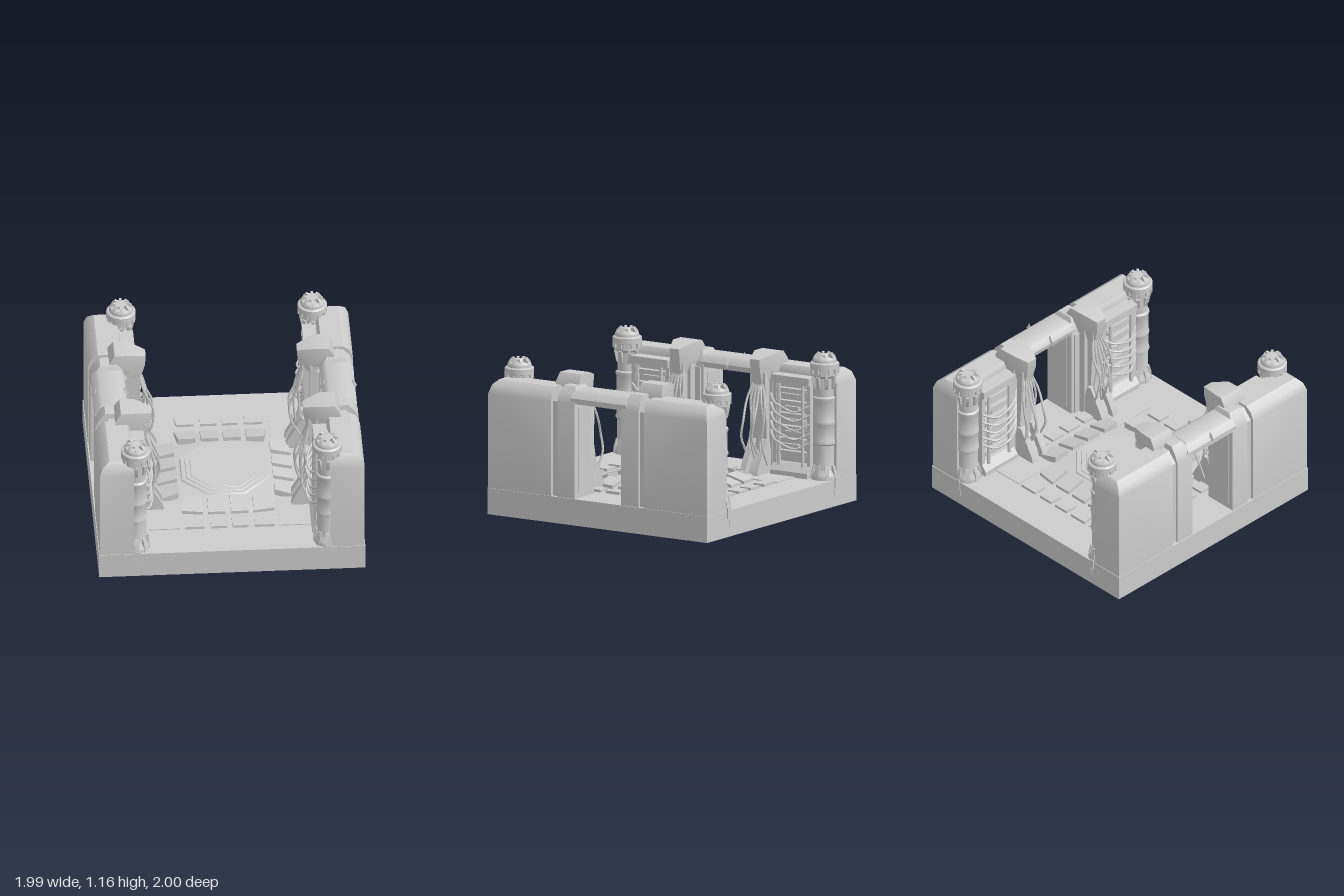
import * as THREE from 'three';
import { toCreasedNormals, mergeGeometries } from 'three/addons/utils/BufferGeometryUtils.js';
import { ConvexGeometry } from 'three/addons/geometries/ConvexGeometry.js';

const V = (x, y, z) => new THREE.Vector3(x, y, z);
const material = new THREE.MeshStandardMaterial({ color: 0xcccccc });

// Box given by its limits on each axis
const box = (x0, x1, y0, y1, z0, z1) =>
  new THREE.BoxGeometry(x1 - x0, y1 - y0, z1 - z0).translate((x0 + x1) / 2, (y0 + y1) / 2, (z0 + z1) / 2);

// Convex solid from horizontal rectangles [y, x0, x1, z0, z1]
const stack = (...levels) => new ConvexGeometry(levels.flatMap(([y, x0, x1, z0, z1]) =>
  [V(x0, y, z0), V(x1, y, z0), V(x1, y, z1), V(x0, y, z1)]));

// Side profile in x,y extruded along z
const profile = (pts, z0, z1) => new THREE.ExtrudeGeometry(
  new THREE.Shape(pts.map(p => new THREE.Vector2(...p))), { depth: z1 - z0, bevelEnabled: false }).translate(0, 0, z0);

const tube = (r, ...pts) => new THREE.TubeGeometry(
  new THREE.CatmullRomCurve3(pts.map(p => V(...p))), 14, r, 6);

const merge = geos => mergeGeometries(geos.map(g => {
  const n = toCreasedNormals(g.index ? g.toNonIndexed() : g, 0.6);
  n.deleteAttribute('uv');
  return n;
}));

// Mirrored copy with its triangle winding kept outward
function mirrored(geo, sx, sz) {
  const g = geo.clone().scale(sx, 1, sz);
  if (sx * sz < 0) {
    for (const a of [g.attributes.position, g.attributes.normal]) {
      for (let i = 0; i < a.count; i += 3) {
        const p = V().fromBufferAttribute(a, i), q = V().fromBufferAttribute(a, i + 2);
        a.setXYZ(i, q.x, q.y, q.z);
        a.setXYZ(i + 2, p.x, p.y, p.z);
      }
    }
  }
  return g;
}

export function createModel() {
  const model = new THREE.Group();
  model.name = 'gatedRoom';

  const add = (name, geos, xs = [1], zs = [1]) => {
    const geo = merge([geos].flat());
    for (const sx of xs) for (const sz of zs) {
      const mesh = new THREE.Mesh(mirrored(geo, sx, sz), material);
      mesh.name = name;
      model.add(mesh);
    }
  };
  const both = [1, -1];
  const corners = (name, geos) => add(name, geos, both, both);

  // Base slab
  add('base', box(-0.995, 0.995, 0, 0.2, -0.99, 0.99));

  // Octagonal floor platform with stepped rings
  const octagon = (top, bottom, y0, y1) => new THREE.CylinderGeometry(
    top / Math.cos(Math.PI / 8), bottom / Math.cos(Math.PI / 8), y1 - y0, 8)
    .rotateY(Math.PI / 8).translate(0, (y0 + y1) / 2, 0);
  add('floorPlatform', [
    octagon(0.34, 0.53, 0.195, 0.237), octagon(0.32, 0.335, 0.23, 0.247),
    octagon(0.285, 0.295, 0.24, 0.252), octagon(0.25, 0.255, 0.25, 0.256)]);

  // Floor tiles that follow the slope of the platform
  const tile = (...plan) => {
    const g = new THREE.ExtrudeGeometry(new THREE.Shape(plan.map(([x, z]) => new THREE.Vector2(x, -z))),
      { depth: 0.05, bevelEnabled: false }).rotateX(-Math.PI / 2);
    const p = g.attributes.position;
    for (let i = 0; i < p.count; i++) {
      const d = Math.max(Math.abs(p.getX(i)), Math.abs(p.getZ(i)));
      const slope = THREE.MathUtils.clamp((0.53 - d) / 0.17, 0, 1);
      p.setY(i, p.getY(i) + 0.17 + 0.043 * slope);
    }
    g.computeVertexNormals();
    return g;
  };
  const quad = (x0, x1, z0, z1) => tile([x0, z0], [x0, z1], [x1, z1], [x1, z0]);
  corners('floorTiles', [
    quad(0.02, 0.15, 0.36, 0.52), tile([0.19, 0.36], [0.19, 0.52], [0.345, 0.5], [0.32, 0.36]),
    quad(0.02, 0.14, 0.6, 0.7), tile([0.19, 0.6], [0.19, 0.7], [0.335, 0.7], [0.32, 0.6]),
    quad(0.36, 0.51, 0.02, 0.14), tile([0.36, 0.19], [0.36, 0.32], [0.49, 0.34], [0.51, 0.19]),
    quad(0.57, 0.67, 0.02, 0.14), tile([0.57, 0.19], [0.57, 0.28], [0.67, 0.3], [0.67, 0.19])]);
  corners('floorPlate', box(0.37, 0.67, 0.19, 0.207, 0.34, 0.695));

  // Thick walls with bevelled tops
  corners('wall', stack([0.2, 0.735, 0.99, 0.42, 0.985], [0.92, 0.735, 0.99, 0.42, 0.985],
    [0.985, 0.735, 0.965, 0.42, 0.965], [1.02, 0.755, 0.915, 0.42, 0.935]));
  corners('wallGroove', stack([0.2, 0.75, 0.965, 0.34, 0.44], [0.92, 0.75, 0.965, 0.34, 0.44],
    [1.0, 0.76, 0.89, 0.34, 0.44]));

  // Doorway posts with sunk inner panels, and lintels between them
  corners('doorPost', [
    stack([0.2, 0.73, 0.985, 0.21, 0.365], [0.92, 0.73, 0.985, 0.21, 0.365],
      [0.985, 0.74, 0.96, 0.22, 0.365], [1.04, 0.78, 0.91, 0.25, 0.355]),
    box(0.78, 0.94, 0.24, 0.88, 0.204, 0.212),
    box(0.715, 0.735, 0.2, 0.92, 0.235, 0.3)]);
  add('lintel', stack([0.92, 0.74, 0.98, -0.25, 0.25], [0.96, 0.73, 0.98, -0.25, 0.25],
    [1.0, 0.75, 0.95, -0.24, 0.24], [1.02, 0.78, 0.92, -0.22, 0.22]), both);
  add('lintelRidge', [0.745, 0.965].map(x =>
    new THREE.OctahedronGeometry(1).scale(0.03, 0.055, 0.014).translate(x, 0.968, 0)), both);

  // Corner columns: turned shaft
  const column = [new THREE.LatheGeometry([
    [0, 0.2], [0.1, 0.2], [0.1, 0.23], [0.075, 0.27], [0.075, 0.46], [0.085, 0.47], [0.085, 0.49],
    [0.08, 0.5], [0.08, 0.61], [0.085, 0.62], [0.085, 0.64], [0.08, 0.65], [0.08, 0.79], [0.085, 0.8],
    [0.085, 0.82], [0.072, 0.83], [0.072, 0.97], [0.098, 0.99], [0.098, 1.035], [0.11, 1.04], [0.11, 1.082],
    [0.1, 1.09], [0.09, 1.09], [0.09, 1.11], [0.08, 1.125], [0.06, 1.125], [0.045, 1.13],
    [0.045, 1.145], [0, 1.148]].map(p => new THREE.Vector2(...p)), 24)];
  const ring = (n, geo) => {
    for (let i = 0; i < n; i++) column.push(geo.clone().rotateY(i * 2 * Math.PI / n));
  };
  ring(12, box(0.09, 0.109, 1.005, 1.045, -0.017, 0.017)); // crown teeth
  ring(8, profile([[0.04, 1.12], [0.088, 1.11], [0.08, 1.135], [0.06, 1.157], [0.04, 1.15]], -0.009, 0.009)); // cap spokes
  ring(8, profile([[0.065, 0.88], [0.082, 0.9], [0.098, 0.98], [0.065, 0.99]], -0.012, 0.012)); // upper brackets
  ring(8, profile([[0.06, 0.2], [0.105, 0.2], [0.1, 0.25], [0.083, 0.31], [0.06, 0.31]], -0.014, 0.014)); // foot fins
  corners('column', column.map(g => g.translate(0.715, 0, 0.89)));
  corners('columnAnchor', [box(0.7, 0.73, 0.14, 0.22, 0.98, 0.998), box(0.69, 0.705, 0.08, 0.13, 0.98, 0.995)]);

  // Buttress beside each doorway: leaning body, wedge head, splayed foot
  corners('buttressBody', [
    profile([[0.76, 0.2], [0.6, 0.2], [0.625, 0.5], [0.61, 0.75], [0.6, 0.97], [0.76, 1.02]], 0.31, 0.43),
    box(0.66, 0.75, 0.2, 0.98, 0.28, 0.46)]);
  corners('buttressHead', new ConvexGeometry([
    V(0.84, 0.99, 0.265), V(0.84, 0.99, 0.475), V(0.84, 1.05, 0.265), V(0.84, 1.05, 0.475),
    V(0.8, 1.11, 0.27), V(0.8, 1.11, 0.465), V(0.69, 1.11, 0.275), V(0.69, 1.11, 0.46),
    V(0.69, 0.98, 0.265), V(0.69, 0.98, 0.47), V(0.565, 1.07, 0.32), V(0.565, 1.07, 0.405),
    V(0.57, 0.99, 0.32), V(0.57, 0.99, 0.405), V(0.605, 0.86, 0.33), V(0.605, 0.86, 0.4), V(0.69, 0.88, 0.3), V(0.69, 0.88, 0.44)]));
  const foot = [[0.7, 0.2], [0.475, 0.2], [0.485, 0.25], [0.6, 0.46], [0.64, 0.46]];
  corners('buttressFoot', [
    profile(foot, 0.285, 0.335), profile(foot, 0.395, 0.445),
    profile([[0.7, 0.2], [0.52, 0.2], [0.54, 0.26], [0.63, 0.4], [0.7, 0.4]], 0.33, 0.4)]);

  // Cables hanging from the head to the foot
  const cables = [];
  for (let i = 0; i < 6; i++) {
    const z = 0.285 + 0.032 * i, bulge = 0.035 * ((i * 2) % 3);
    cables.push(tube(0.009, [0.62, 0.92, 0.33 + 0.012 * i], [0.575, 0.76, z],
      [0.51 + bulge, 0.6, z + 0.01], [0.515 + bulge, 0.48, z - 0.012], [0.56, 0.37, z], [0.61, 0.27, z]));
  }
  corners('buttressCables', cables);

  // Machinery panel between buttress and column
  const panel = [
    box(0.69, 0.745, 0.2, 0.96, 0.45, 0.83),
    box(0.65, 0.7, 0.22, 0.95, 0.47, 0.5), box(0.65, 0.7, 0.22, 0.95, 0.775, 0.805),
    box(0.63, 0.72, 0.9, 0.96, 0.47, 0.805),
    profile([[0.73, 0.2], [0.61, 0.2], [0.61, 0.24], [0.66, 0.3], [0.73, 0.3]], 0.47, 0.805)];
  for (let i = 0; i < 6; i++) {
    const y = 0.36 + 0.095 * i;
    panel.push(box(0.645, 0.7, y, y + 0.03, 0.5, 0.775));
    panel.push(box(0.665, 0.7, y + 0.045, y + 0.08, 0.53 + 0.03 * (i % 2), 0.69 + 0.03 * (i % 3)));
  }
  corners('machineryPanel', panel);

  // Pipes and looping hoses in front of the panel
  const hoses = [0.53, 0.745].map(z => new THREE.CylinderGeometry(0.014, 0.014, 0.62, 8).translate(0.64, 0.59, z));
  for (let i = 0; i < 5; i++) {
    const y = 0.45 + 0.07 * i;
    hoses.push(tube(0.009, [0.65, y + 0.08, 0.45], [0.605, y + 0.03, 0.51],
      [0.575 + 0.008 * (i % 3), y, 0.6], [0.6, y - 0.03, 0.7], [0.65, y + 0.02, 0.8]));
  }
  corners('hoses', hoses);

  return model;
}
